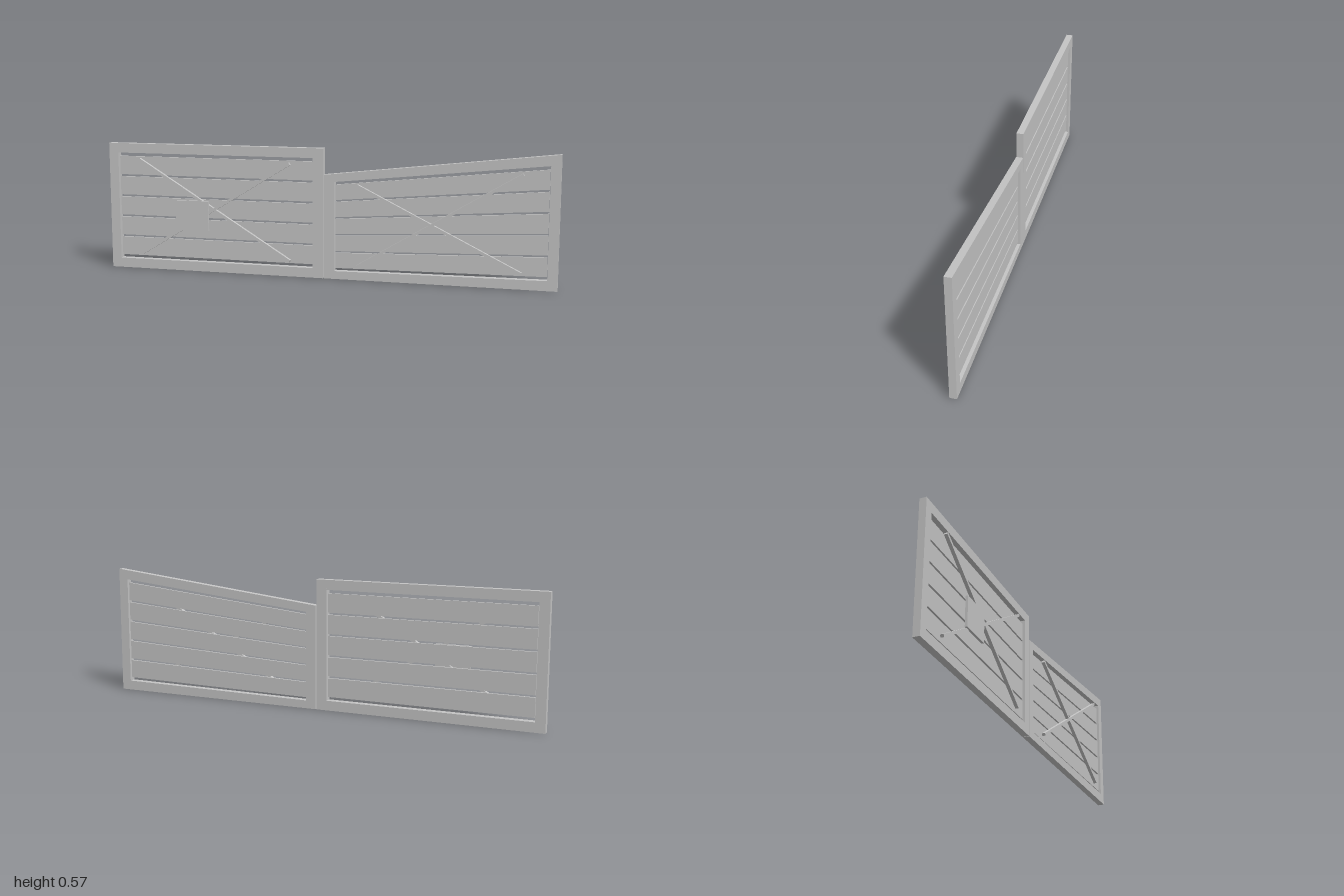
import * as THREE from 'three';

const H = 0.57;                       // full leaf height
const FRAME = [-0.025, 0.005];        // frame depth range
const PANEL = [-0.015, -0.005];       // recessed slat depth range

export function createModel() {
  const grey = new THREE.MeshStandardMaterial({ color: 0xc4c4c4 });
  grey.name = 'painted grey';
  const flat = () => 1;
  // sloped leaf: heights shrink linearly toward the middle
  const sloped = x => 0.8 + 0.2 * x;

  // box given by its x, y, z ranges, with heights scaled by a rule of x
  function bar(group, name, [x0, x1], [y0, y1], [z0, z1], scale = flat) {
    const g = new THREE.BoxGeometry(x1 - x0, y1 - y0, z1 - z0);
    g.translate((x0 + x1) / 2, (y0 + y1) / 2, (z0 + z1) / 2);
    const p = g.attributes.position;
    for (let i = 0; i < p.count; i++) p.setY(i, p.getY(i) * scale(p.getX(i)));
    g.computeVertexNormals();
    const m = new THREE.Mesh(g, grey);
    m.name = name;
    group.add(m);
  }

  // thin diagonal rod between two points on the front of a leaf
  function brace(group, [x0, y0], [x1, y1]) {
    const m = new THREE.Mesh(
      new THREE.BoxGeometry(Math.hypot(x1 - x0, y1 - y0), 0.012, 0.015), grey);
    m.position.set((x0 + x1) / 2, (y0 + y1) / 2, 0.0125);
    m.rotation.z = Math.atan2(y1 - y0, x1 - x0);
    m.name = 'diagonalBrace';
    group.add(m);
  }

  // framed leaf with five slats
  function leaf(name, a, b, c, d, scale) {
    const group = new THREE.Group();
    group.name = name;
    bar(group, 'post', [a, b], [0, H], FRAME, scale);
    bar(group, 'post', [c, d], [0, H], FRAME, scale);
    bar(group, 'topRail', [b, c], [H - 0.043, H], FRAME, scale);
    bar(group, 'bottomRail', [b, c], [0, 0.043], FRAME, scale);
    for (let i = 0; i < 5; i++) {
      const y = 0.058 + i * 0.0925;
      bar(group, 'slat', [b + 0.004, c - 0.002], [y, y + 0.083], PANEL, scale);
    }
    return group;
  }

  const straight = leaf('straightLeaf', -1, -0.957, -0.05, -0.002, flat);
  brace(straight, [-0.85, 0.5], [-0.15, 0.07]);
  brace(straight, [-0.85, 0.07], [-0.15, 0.5]);
  bar(straight, 'signPlate', [-0.675, -0.523], [0.19, 0.323], [0.016, 0.027]);

  const slope = leaf('slopedLeaf', 0.002, 0.047, 0.957, 1, sloped);
  brace(slope, [0.15, 0.415], [0.85, 0.068]);
  brace(slope, [0.15, 0.062], [0.85, 0.485]);

  const model = new THREE.Group();
  model.name = 'doubleGate';
  model.add(straight, slope);
  return model;
}
